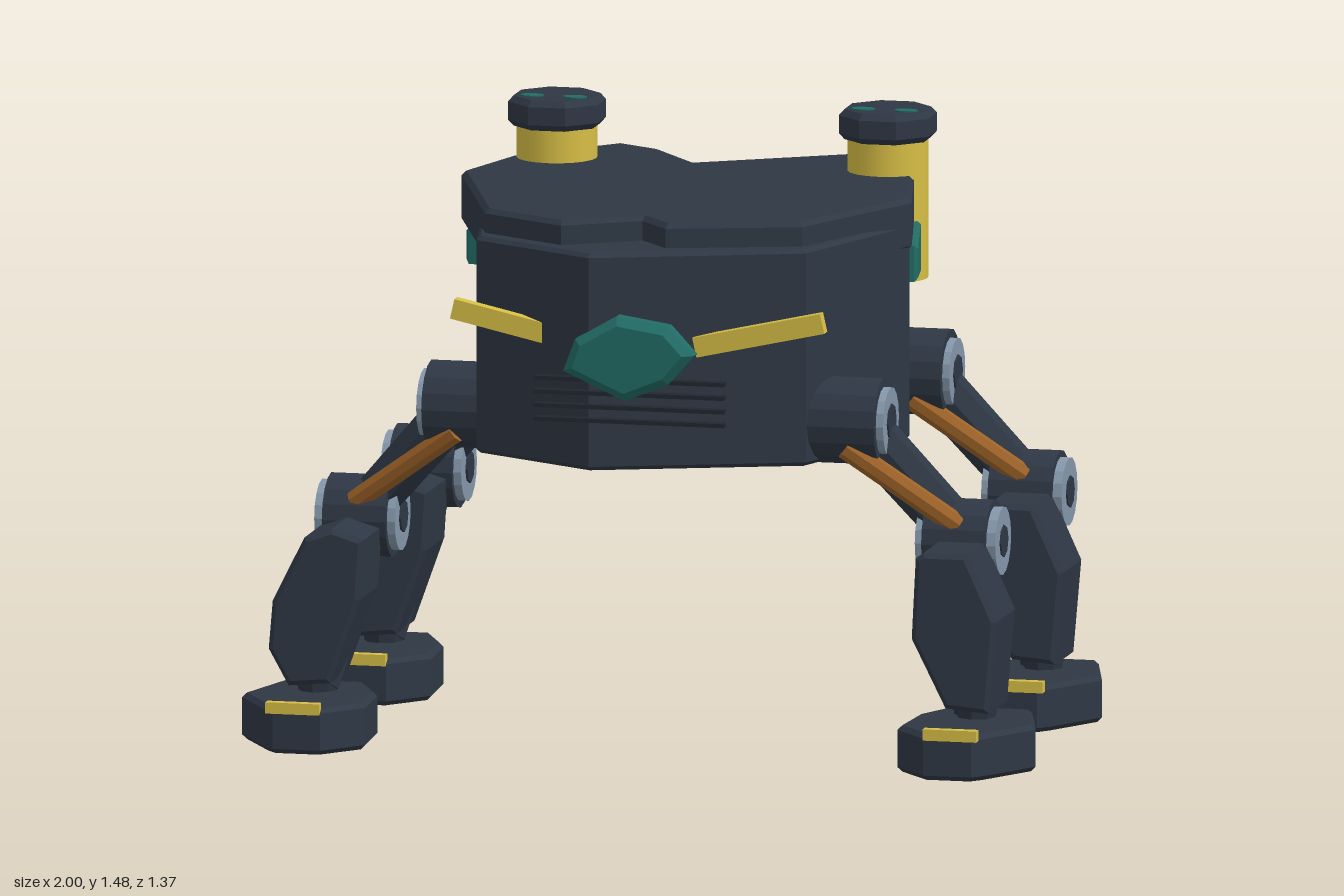
import * as THREE from 'three';

const mat = (name, color) => {
  const m = new THREE.MeshStandardMaterial({ color });
  m.name = name;
  return m;
};

export function createModel() {
  const dark = mat('dark slate', 0x2e3744);
  const vent = mat('vent black', 0x20262f);
  const yellow = mat('yellow', 0xd6bd45);
  const teal = mat('teal', 0x226b65);
  const copper = mat('copper', 0x9c6228);
  const steel = mat('steel', 0x8497aa);

  const root = new THREE.Group();
  root.name = 'walker';

  const add = (parent, name, geo, material) => {
    const m = new THREE.Mesh(geo, material);
    m.name = name;
    parent.add(m);
    return m;
  };
  const flat = (g) => {
    const f = g.toNonIndexed();
    f.computeVertexNormals();
    return f;
  };
  // Outline extruded with a small bevel that keeps its outer size
  const extrude = (pts, depth, b) => new THREE.ExtrudeGeometry(
    new THREE.Shape(pts.map(([x, y]) => new THREE.Vector2(x, y))),
    { depth: depth - 2 * b, bevelEnabled: b > 0, bevelThickness: b, bevelSize: b, bevelOffset: -b, bevelSegments: 1 }
  ).translate(0, 0, b);
  // Plan outline in (x, z), raised from y0 to y1
  const prism = (pts, y0, y1, b) =>
    extrude(pts.map(([x, z]) => [x, -z]), y1 - y0, b).rotateX(-Math.PI / 2).translate(0, y0, 0);
  // Drum lying along x between x0 and x1
  const drum = (r, x0, x1, y, z, sides) =>
    flat(new THREE.CylinderGeometry(r, r, Math.abs(x1 - x0), sides).rotateX(0).rotateZ(Math.PI / 2))
      .translate((x0 + x1) / 2, y, z);
  // Rod between two points
  const rod = (a, b, r0, r1, sides) => {
    const p = new THREE.Vector3(...a), q = new THREE.Vector3(...b);
    const d = q.clone().sub(p);
    const g = flat(new THREE.CylinderGeometry(r1, r0, d.length(), sides));
    g.applyQuaternion(new THREE.Quaternion().setFromUnitVectors(new THREE.Vector3(0, 1, 0), d.normalize()));
    const c = p.add(q).multiplyScalar(0.5);
    return g.translate(c.x, c.y, c.z);
  };

  // Hull and the notched deck plate on top
  add(root, 'hull', prism([
    [-0.105, 0.585], [0.4, 0.4], [0.56, -0.03], [0.46, -0.42],
    [0, -0.685], [-0.57, -0.33], [-0.43, 0.4],
  ], 0.72, 1.26, 0.01), dark);
  add(root, 'deckPlate', prism([
    [-0.2, 0.475], [-0.02, 0.365], [0.06, 0.46], [0.38, 0.36], [0.565, -0.03], [0.48, -0.42],
    [0.31, -0.635], [-0.07, -0.41], [-0.195, -0.57], [-0.31, -0.635], [-0.53, -0.4],
    [-0.6, -0.16], [-0.42, 0.35],
  ], 1.19, 1.32, 0.012), dark);

  // Front sensor, vents and brow bars
  add(root, 'frontSensor', extrude([
    [-0.165, 0.97], [-0.135, 1.05], [-0.03, 1.11], [0.1, 1.09], [0.165, 1.02], [0.1, 0.945], [-0.01, 0.9],
  ], 0.075, 0.02).translate(0, 0, 0.545), teal);
  for (let i = 0; i < 4; i++)
    add(root, 'ventBar', new THREE.BoxGeometry(0.48, 0.01, 0.025), vent).position.set(0, 0.95 - i * 0.034, 0.588);
  for (const s of [-1, 1]) {
    const bar = add(root, 'browBar', new THREE.BoxGeometry(0.33, 0.05, 0.033), yellow);
    bar.position.set(s * 0.305, 1.06, 0.492);
    bar.rotation.z = s * 0.22;
  }

  // Rear turrets with side panels
  for (const s of [-1, 1]) {
    const t = new THREE.Group();
    t.name = s > 0 ? 'leftTurret' : 'rightTurret';
    root.add(t);
    const x = s * 0.417, z = -0.405;
    add(t, 'turretPost', new THREE.CylinderGeometry(0.1, 0.1, 0.36, 20), yellow).position.set(x, 1.235, z);
    const profile = [[0, 1.4], [0.108, 1.4], [0.122, 1.415], [0.122, 1.46], [0.108, 1.475], [0, 1.475]]
      .map(([r, y]) => new THREE.Vector2(r, y));
    add(t, 'turretCap', flat(new THREE.LatheGeometry(profile, 8).rotateY(Math.PI / 8)), dark).position.set(x, 0, z);
    for (const k of [-1, 1]) {
      const spot = add(t, 'capSpot', new THREE.CylinderGeometry(0.03, 0.03, 0.006, 10), teal);
      spot.scale.z = 0.65;
      spot.position.set(x + k * 0.054, 1.475, -0.37);
    }
    // Panel outline runs along z, tapering at its front tip
    const panel = add(t, 'turretPanel', extrude([
      [-0.25, 1.1], [-0.25, 1.19], [-0.23, 1.205], [0.13, 1.205], [0.25, 1.185], [0.25, 1.095], [0.02, 1.075], [-0.23, 1.08],
    ], 0.05, 0.01).translate(0, 0, -0.025).rotateY(-Math.PI / 2), teal);
    panel.position.set(s > 0 ? 0.485 : -0.508, 0, -0.363);
    panel.rotation.y = s * 0.2;
  }

  // Legs: the same chain at four corners
  const shinShapes = {
    '1': [[0.7, 0.52], [0.72, 0.535], [0.83, 0.535], [0.905, 0.37], [0.885, 0.14], [0.775, 0.15], [0.69, 0.32]],
    '-1': [[-0.84, 0.51], [-0.77, 0.535], [-0.69, 0.51], [-0.7, 0.36], [-0.775, 0.15], [-0.88, 0.14], [-0.93, 0.23], [-0.92, 0.35]],
  };
  const foot = [[0.74, 0.27], [0.94, 0.27], [1, 0.49], [0.91, 0.64], [0.88, 0.675], [0.76, 0.675], [0.67, 0.57], [0.68, 0.4]];

  for (const s of [-1, 1]) for (const dz of [0, -0.71]) {
    const leg = new THREE.Group();
    leg.name = (dz ? 'rear' : 'front') + (s > 0 ? 'Left' : 'Right') + 'Leg';
    leg.position.z = dz;
    root.add(leg);

    // Hip joint
    add(leg, 'hipDrum', drum(0.108, s * 0.4, s * 0.57, 0.82, 0.29, 16), dark);
    add(leg, 'hipRing', drum(0.086, s * 0.5, s * 0.588, 0.82, 0.29, 16), steel);
    add(leg, 'hipBolt', drum(0.045, s * 0.5, s * 0.592, 0.82, 0.29, 8), dark);

    // Thigh and its piston
    add(leg, 'thigh', rod([s * 0.5, 0.82, 0.285], [s * 0.76, 0.525, 0.235], 0.066, 0.062, 8), dark);
    add(leg, 'piston', rod([s * 0.49, 0.765, 0.365], [s * 0.76, 0.57, 0.3], 0.028, 0.028, 8), copper);

    // Knee joint
    add(leg, 'kneeDrum', drum(0.102, s * 0.675, s * 0.835, 0.525, 0.235, 16), dark);
    add(leg, 'kneeRing', drum(0.085, s * 0.655, s * 0.858, 0.525, 0.235, 16), steel);
    add(leg, 'kneeBolt', drum(0.04, s * 0.65, s * 0.862, 0.525, 0.235, 8), dark);

    // Lower leg with armoured shin
    add(leg, 'calf', rod([s * 0.76, 0.525, 0.235], [s * 0.83, 0.13, 0.41], 0.08, 0.055, 8), dark);
    add(leg, 'shinArmour', extrude(shinShapes[s], 0.215, 0.012).translate(0, 0, 0.297), dark);

    // Foot and toe bar
    add(leg, 'ankle', rod([s * 0.83, 0.1, 0.405], [s * 0.83, 0.17, 0.405], 0.045, 0.06, 8), dark);
    add(leg, 'foot', prism(foot.map(([x, z]) => [s * x, z]), 0, 0.116, 0.012), dark);
    add(leg, 'toeBar', new THREE.BoxGeometry(0.135, 0.028, 0.025), yellow).position.set(s * 0.828, 0.115, 0.672);
  }
  return root;
}
